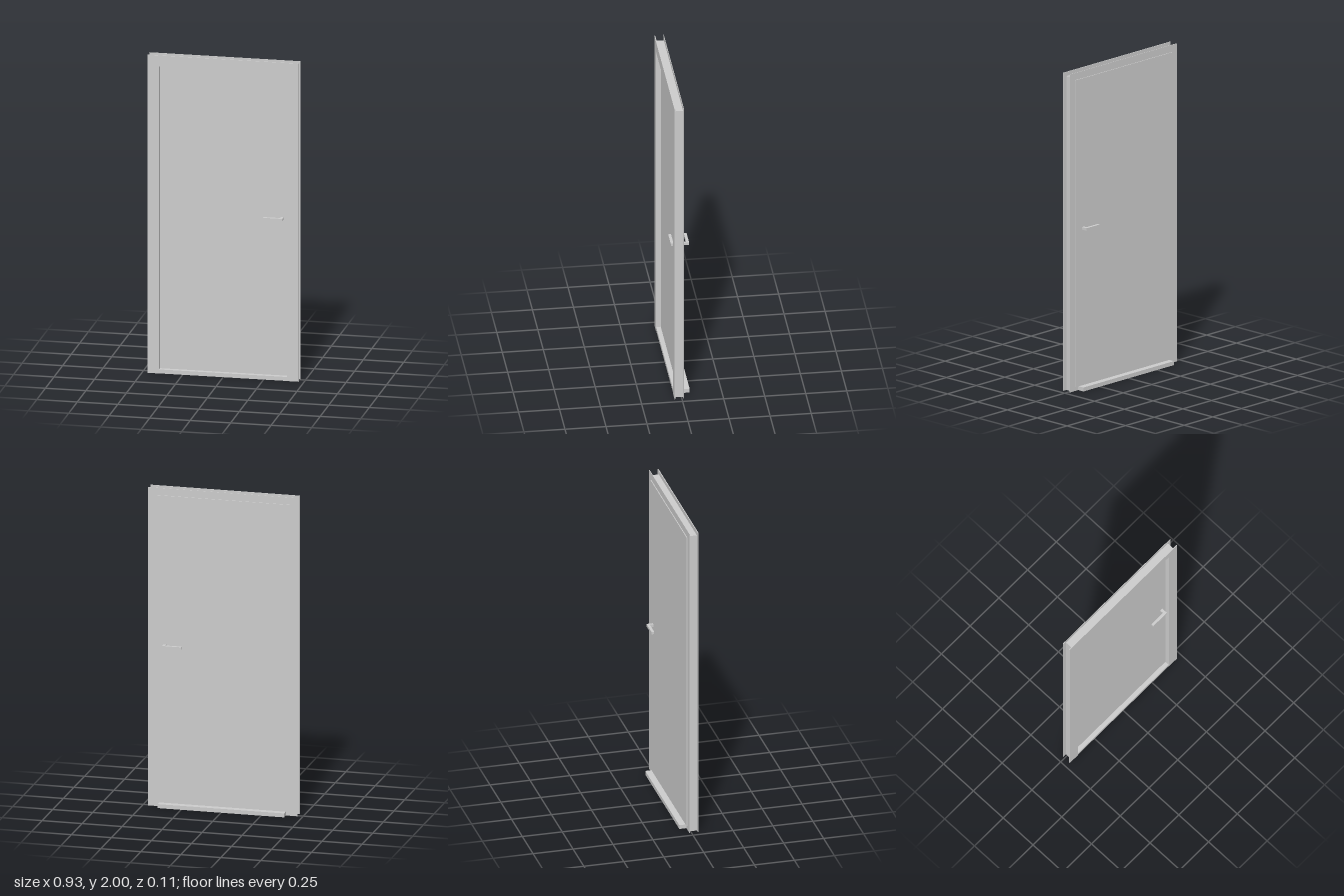
import * as THREE from 'three';

const material = new THREE.MeshStandardMaterial({ color: 0xcccccc, flatShading: true });

// Box given by its lower and upper corner
function block(name, x0, x1, y0, y1, z0, z1) {
  const mesh = new THREE.Mesh(new THREE.BoxGeometry(x1 - x0, y1 - y0, z1 - z0), material);
  mesh.position.set((x0 + x1) / 2, (y0 + y1) / 2, (z0 + z1) / 2);
  mesh.name = name;
  return mesh;
}

// Extrude a closed outline along z from z0 to z1
function plate(name, points, z0, z1) {
  const shape = new THREE.Shape(points.map(([x, y]) => new THREE.Vector2(x, y)));
  const geometry = new THREE.ExtrudeGeometry(shape, { depth: z1 - z0, bevelEnabled: false });
  geometry.translate(0, 0, z0);
  const mesh = new THREE.Mesh(geometry, material);
  mesh.name = name;
  return mesh;
}

const OPEN_W = 0.395, OPEN_H = 1.93; // half width and height of the opening

// Three-sided surround, open at the floor
function surround(name, halfWidth, height, z0, z1) {
  return plate(name, [
    [-halfWidth, 0], [-OPEN_W, 0], [-OPEN_W, OPEN_H], [OPEN_W, OPEN_H],
    [OPEN_W, 0], [halfWidth, 0], [halfWidth, height], [-halfWidth, height],
  ], z0, z1);
}

// L-shaped lever: a stem out of the leaf and a grip pointing to the hinges
function lever(name, faceZ, tipZ) {
  const inner = tipZ - Math.sign(tipZ) * 0.017;
  const outline = [[0.368, faceZ], [0.368, tipZ], [0.25, tipZ], [0.25, inner], [0.351, inner], [0.351, faceZ]];
  const mesh = plate(name, outline, -1.021, -1.005);
  mesh.geometry.rotateX(Math.PI / 2);
  // the rotation maps outline y to z and depth to -y
  return mesh;
}

export function createModel() {
  const door = new THREE.Group();
  door.name = 'door';

  // Frame
  const frame = new THREE.Group();
  frame.name = 'frame';
  frame.add(
    surround('frontCasing', 0.467, 2, 0.04, 0.045),
    surround('jamb', 0.443, 1.975, -0.01, 0.04),
    surround('backCasing', 0.467, 2, -0.013, -0.01),
    block('threshold', -OPEN_W, OPEN_W, 0, 0.025, -0.057, 0.043),
  );

  // Leaf with an overlapping lip on the back
  const leaf = new THREE.Group();
  leaf.name = 'leaf';
  leaf.add(
    block('panel', -OPEN_W, OPEN_W, 0.025, OPEN_H, -0.013, 0.015),
    block('lip', -0.42, 0.42, 0.025, 1.955, -0.018, -0.013),
    lever('frontHandle', 0.015, 0.055),
    lever('backHandle', -0.018, -0.057),
  );

  door.add(frame, leaf);
  return door;
}
